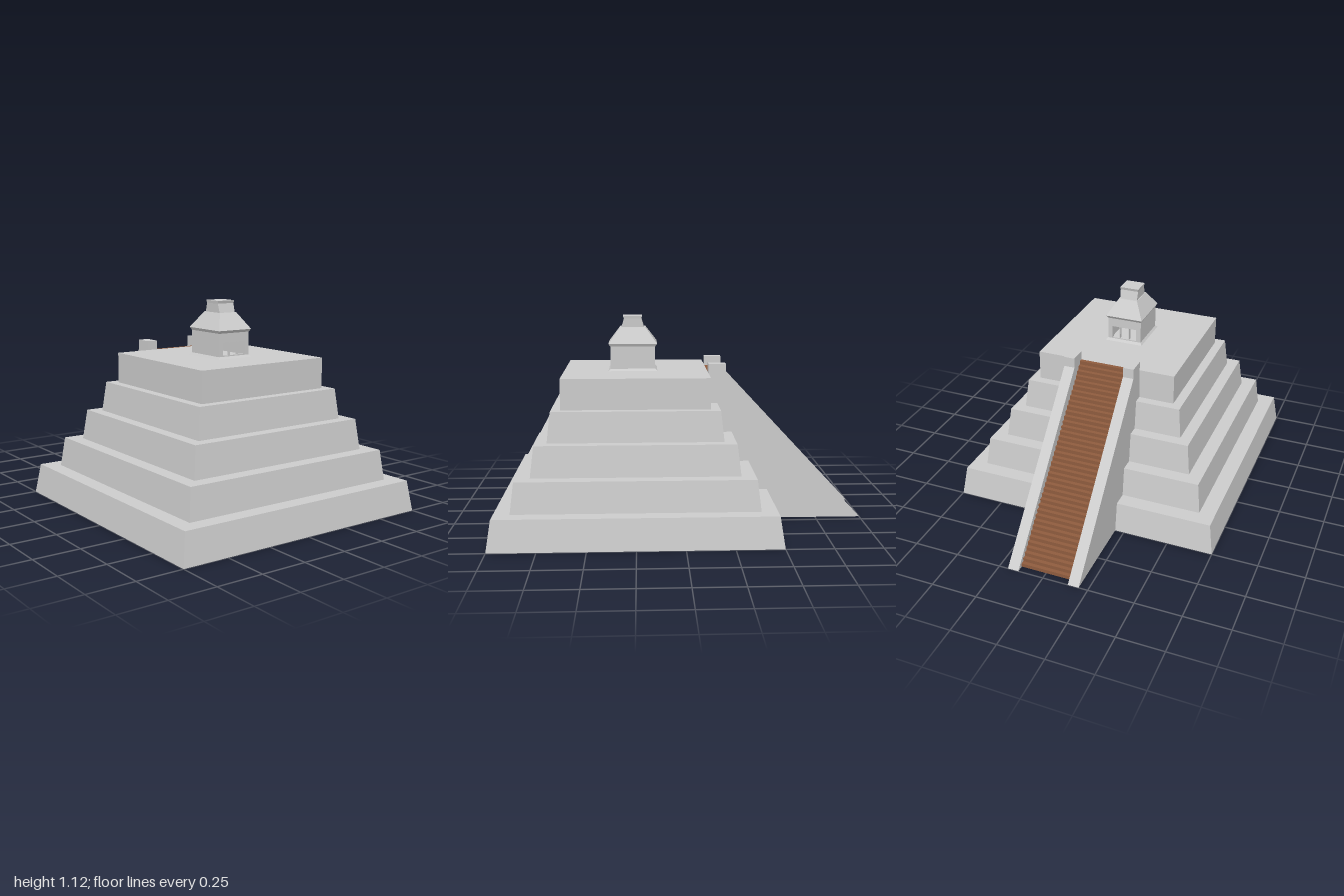
import * as THREE from 'three';

const stone = new THREE.MeshStandardMaterial({ color: 0xcccccc, flatShading: true, side: THREE.DoubleSide });
const brick = new THREE.MeshStandardMaterial({ color: 0x8f5c3e, flatShading: true, side: THREE.DoubleSide });

// Half widths at the foot and top of each terrace, with its heights
const CENTER_X = 0.25;
const TIERS = [
  [0.75, 0.725, 0, 0.165],
  [0.64, 0.62, 0.165, 0.328],
  [0.545, 0.525, 0.328, 0.493],
  [0.463, 0.445, 0.493, 0.655],
  [0.395, 0.395, 0.655, 0.82],
];
const TOP = 0.82;
const EDGE_X = CENTER_X - 0.395;

function add(parent, name, geometry, material = stone) {
  const mesh = new THREE.Mesh(geometry, material);
  mesh.name = name;
  parent.add(mesh);
  return mesh;
}

// Box whose top rectangle may differ from its bottom one (half sizes)
function frustum(hx0, hz0, hx1, hz1, y0, y1) {
  const g = new THREE.BoxGeometry(2, 1, 2);
  const p = g.attributes.position;
  for (let i = 0; i < p.count; i++) {
    const up = p.getY(i) > 0;
    p.setXYZ(i, p.getX(i) * (up ? hx1 : hx0), up ? y1 : y0, p.getZ(i) * (up ? hz1 : hz0));
  }
  g.computeVertexNormals();
  return g;
}

// Hollow stepped shell, open underneath: a four-sided lathe
function buildTerraces(parent) {
  const profile = [];
  for (const [foot, top, y0, y1] of TIERS) {
    profile.push(new THREE.Vector2(foot * Math.SQRT2, y0), new THREE.Vector2(top * Math.SQRT2, y1));
  }
  profile.push(new THREE.Vector2(0, TOP));
  add(parent, 'terraces', new THREE.LatheGeometry(profile, 4, Math.PI / 4)).position.x = CENTER_X;
}

// Folded sheet of treads and risers between two sloping walls
function buildStairway(parent) {
  const stairs = new THREE.Group();
  stairs.name = 'stairway';
  parent.add(stairs);

  const count = 40, x0 = -0.96, run = (EDGE_X - x0) / count, rise = TOP / count, hz = 0.14;
  const path = [[x0, 0]];
  for (let i = 0; i < count; i++) {
    path.push([x0 + i * run, (i + 1) * rise], [x0 + (i + 1) * run, (i + 1) * rise]);
  }
  const verts = [], index = [];
  path.forEach(([x, y], i) => {
    verts.push(x, y, hz, x, y, -hz);
    if (i > 0) {
      const a = 2 * i - 2;
      index.push(a, a + 2, a + 1, a + 1, a + 2, a + 3);
    }
  });
  const steps = new THREE.BufferGeometry();
  steps.setAttribute('position', new THREE.Float32BufferAttribute(verts, 3));
  steps.setIndex(index);
  steps.computeVertexNormals();
  add(stairs, 'steps', steps, brick);

  // Side wall outline: slope, end block, then back down along the terraces
  const outline = [[-1, 0], [-0.24, 0.815], [-0.24, 0.87], [EDGE_X, 0.87]];
  for (const [foot, top, y0, y1] of [...TIERS].reverse()) {
    outline.push([CENTER_X - top, y1], [CENTER_X - foot, y0]);
  }
  const shape = new THREE.Shape(outline.map(([x, y]) => new THREE.Vector2(x, y)));
  for (const z of [hz, -0.2]) {
    const wall = new THREE.ExtrudeGeometry(shape, { depth: 0.06, bevelEnabled: false });
    add(stairs, 'sideWall', wall).position.z = z;
  }
}

// Small shrine with pillared openings at both ends
function buildShrine(parent) {
  const shrine = new THREE.Group();
  shrine.name = 'shrine';
  shrine.position.x = 0.265;
  parent.add(shrine);

  const hx = 0.123, hz = 0.098, y0 = 0.832, y1 = 0.955, t = 0.018;
  add(shrine, 'plinth', frustum(0.135, 0.108, hx, hz, TOP, y0));

  // Long closed walls
  for (const s of [1, -1]) {
    const wall = add(shrine, 'longWall', new THREE.BoxGeometry(2 * hx, y1 - y0, t));
    wall.position.set(0, (y0 + y1) / 2, s * (hz - t / 2));
  }

  // End walls, each with three openings
  const end = new THREE.Shape([[-hz, y0], [hz, y0], [hz, y1], [-hz, y1]].map(([a, b]) => new THREE.Vector2(a, b)));
  for (const c of [-0.05, 0, 0.05]) {
    const w = c === 0 ? 0.025 : 0.021;
    end.holes.push(new THREE.Path([[c - w, 0.838], [c - w, 0.906], [c + w, 0.906], [c + w, 0.838]]
      .map(([a, b]) => new THREE.Vector2(a, b))));
  }
  for (const x of [-hx, hx - t]) {
    const wall = add(shrine, 'pillaredWall', new THREE.ExtrudeGeometry(end, { depth: t, bevelEnabled: false }));
    wall.rotation.y = Math.PI / 2;
    wall.position.x = x;
  }

  // Eaves, hipped roof and crest
  add(shrine, 'eaves', frustum(hx, hz, 0.134, 0.106, y1, 0.97));
  add(shrine, 'roof', frustum(0.134, 0.106, 0.07, 0.054, 0.97, 1.057));
  add(shrine, 'crest', frustum(0.062, 0.05, 0.048, 0.052, 1.057, 1.105));
  add(shrine, 'crestCap', frustum(0.048, 0.052, 0.053, 0.054, 1.105, 1.12));
}

export function createModel() {
  const model = new THREE.Group();
  model.name = 'steppedPyramid';
  buildTerraces(model);
  buildStairway(model);
  buildShrine(model);
  return model;
}
